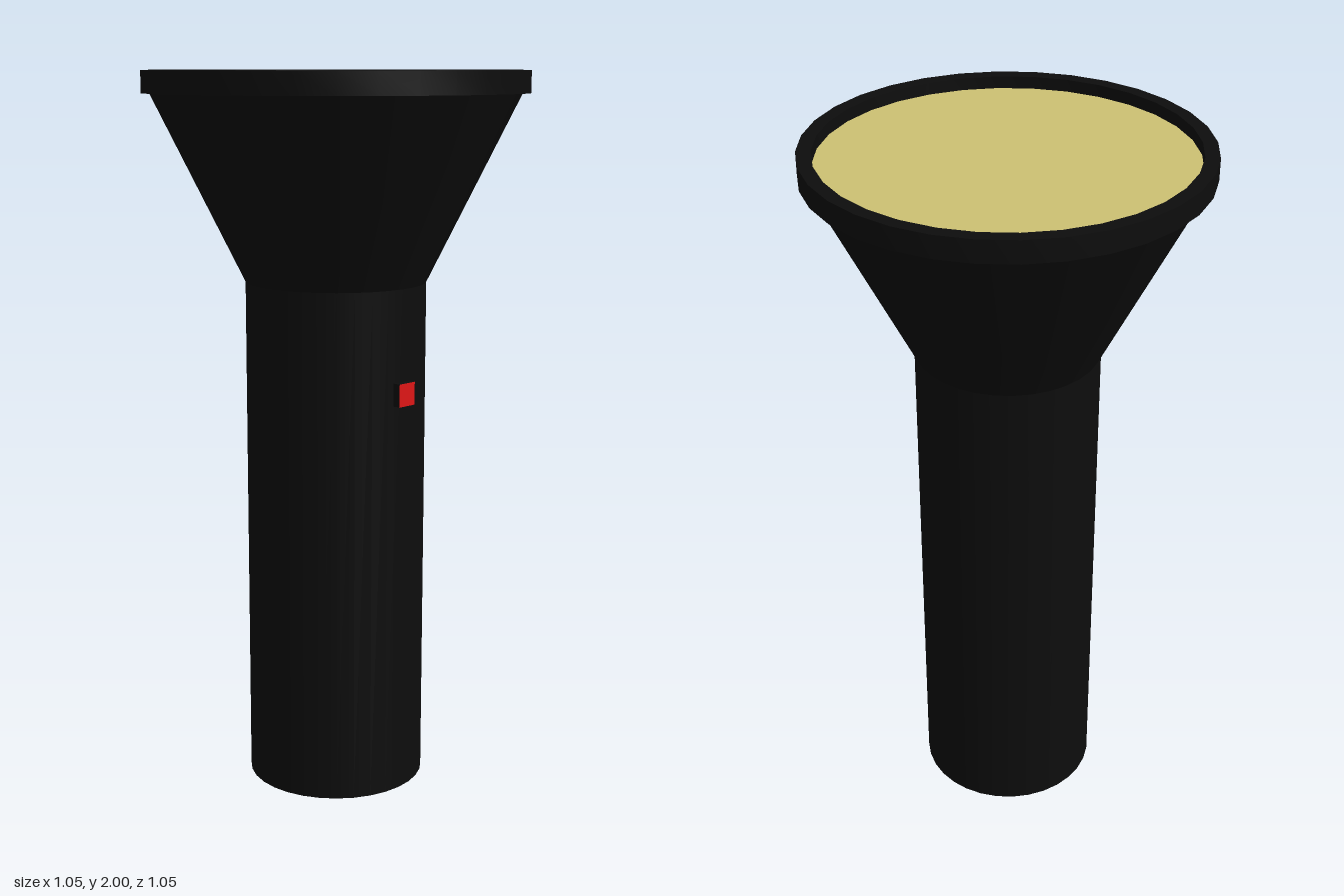
import * as THREE from 'three';
import { toCreasedNormals } from 'three/addons/utils/BufferGeometryUtils.js';

const SIDES = 32;
const material = (color) => new THREE.MeshStandardMaterial({ color });

export function createModel() {
  const torch = new THREE.Group();
  torch.name = 'flashlight';
  const black = material(0x0d0d0d);
  const yellow = material(0xcdc173);
  const red = material(0xe01616);

  const add = (name, geometry, mat, x = 0, y = 0) => {
    const mesh = new THREE.Mesh(geometry, mat);
    mesh.name = name;
    mesh.position.set(x, y, 0);
    torch.add(mesh);
    return mesh;
  };

  // Straight handle, closed at the bottom
  add('handle', new THREE.CylinderGeometry(0.25, 0.25, 1.43, SIDES), black, 0, 0.715);

  // Flared head
  add('head', new THREE.CylinderGeometry(0.503, 0.25, 0.51, SIDES, 1, true), black, 0, 1.685);

  // Rim: square-section ring around the lens
  const rimProfile = [
    [0.487, 1.94], [0.525, 1.94], [0.525, 2], [0.487, 2], [0.487, 1.94],
  ].map(([r, y]) => new THREE.Vector2(r, y));
  add('rim', toCreasedNormals(new THREE.LatheGeometry(rimProfile, SIDES), 0.6), black);

  // Lens disc, set slightly below the top of the rim
  add('lens', new THREE.CylinderGeometry(0.487, 0.487, 0.025, SIDES), yellow, 0, 1.9545);

  // Switch on the left side: black block with a red outer face
  add('switch', new THREE.BoxGeometry(0.06, 0.063, 0.06), [red, black, black, black, black, black], 0.24, 1.147);

  return torch;
}
